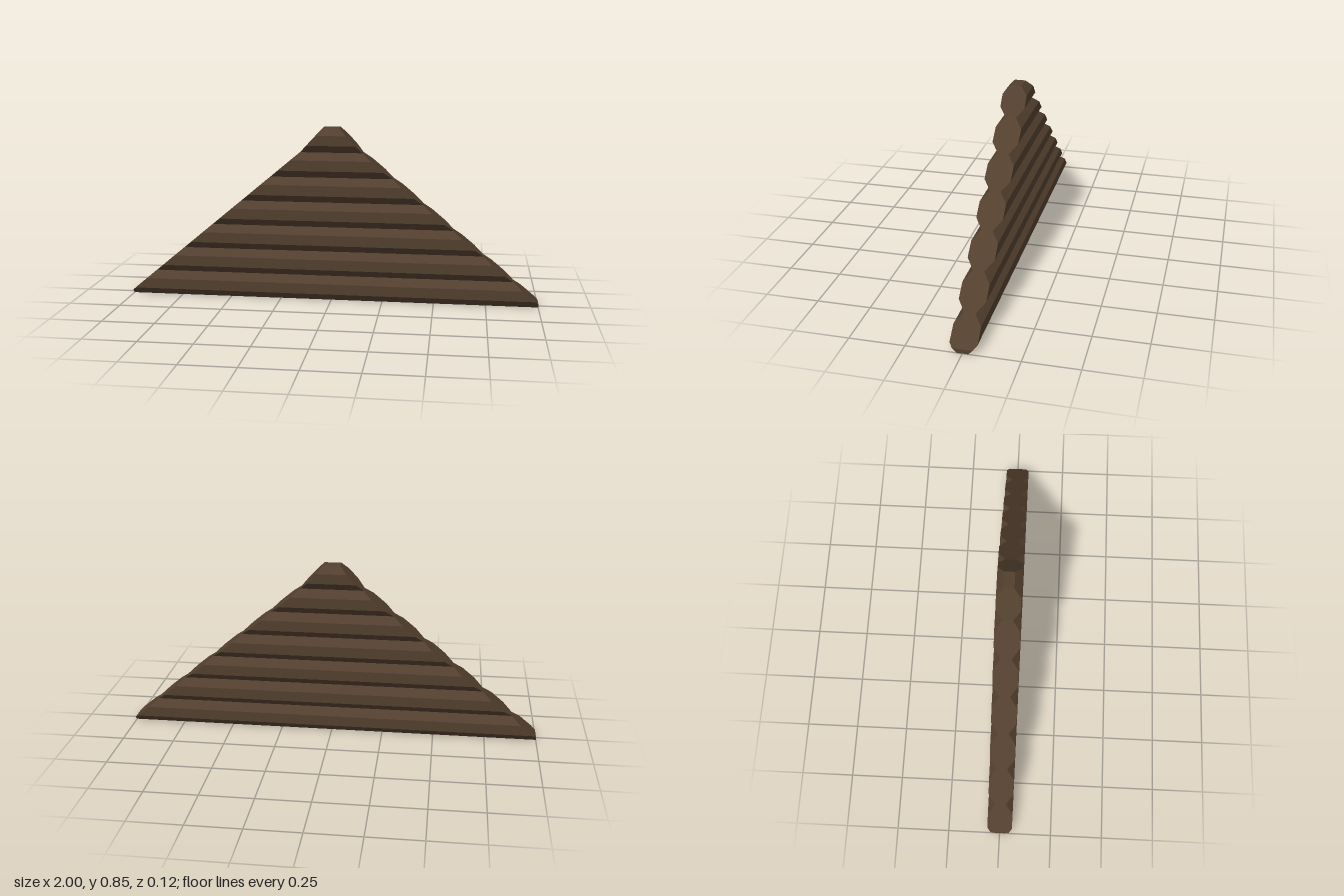
import * as THREE from 'three';

const LOGS = 7;
const PITCH = 0.1215;

// Half-length of the gable at height y: short upright foot, long slope, steeper cap
function halfLength(y) {
  if (y <= 0.02) return 1;
  if (y <= 0.729) return THREE.MathUtils.mapLinear(y, 0.02, 0.729, 1, 0.15);
  return THREE.MathUtils.mapLinear(y, 0.729, 0.848, 0.15, 0.04);
}

// Octagonal log whose slanted ends follow the gable; rows are [y, half depth]
function logGeometry(rows) {
  const pos = [];
  const quad = (a, b, c, d) => pos.push(...a, ...b, ...c, ...a, ...c, ...d);
  // Corners of one level, counter-clockwise seen from above
  const rings = rows.map(([y, z]) => {
    const x = halfLength(y);
    return [[-x, y, z], [x, y, z], [x, y, -z], [-x, y, -z]];
  });
  for (let r = 0; r < rings.length - 1; r++) {
    const lo = rings[r], hi = rings[r + 1];
    for (let k = 0; k < 4; k++) {
      const n = (k + 1) % 4;
      quad(lo[k], lo[n], hi[n], hi[k]);
    }
  }
  const bottom = rings[0], top = rings[rings.length - 1];
  quad(...top);
  quad(bottom[3], bottom[2], bottom[1], bottom[0]);

  const geo = new THREE.BufferGeometry();
  geo.setAttribute('position', new THREE.Float32BufferAttribute(pos, 3));
  geo.computeVertexNormals();
  return geo;
}

export function createModel() {
  const group = new THREE.Group();
  group.name = 'logGable';
  const wood = new THREE.MeshStandardMaterial({ color: 0x523f2e });
  wood.name = 'darkWood';

  // Stack of logs, shortest on top
  for (let i = 0; i < LOGS; i++) {
    const y = i * PITCH;
    const isRidge = i === LOGS - 1;
    const wide = isRidge ? 0.057 : 0.06;
    const height = isRidge ? 0.119 : PITCH;
    const rows = [
      [y, 0.025],
      [y + 0.0355, wide],
      [y + height - 0.0355, wide],
      [y + height, 0.025],
    ];
    // The lowest log has an upright foot at its ends
    if (i === 0) rows.splice(1, 0, [0.02, 0.0447]);
    const log = new THREE.Mesh(logGeometry(rows), wood);
    log.name = isRidge ? 'ridgeLog' : `log${i + 1}`;
    group.add(log);
  }
  return group;
}
